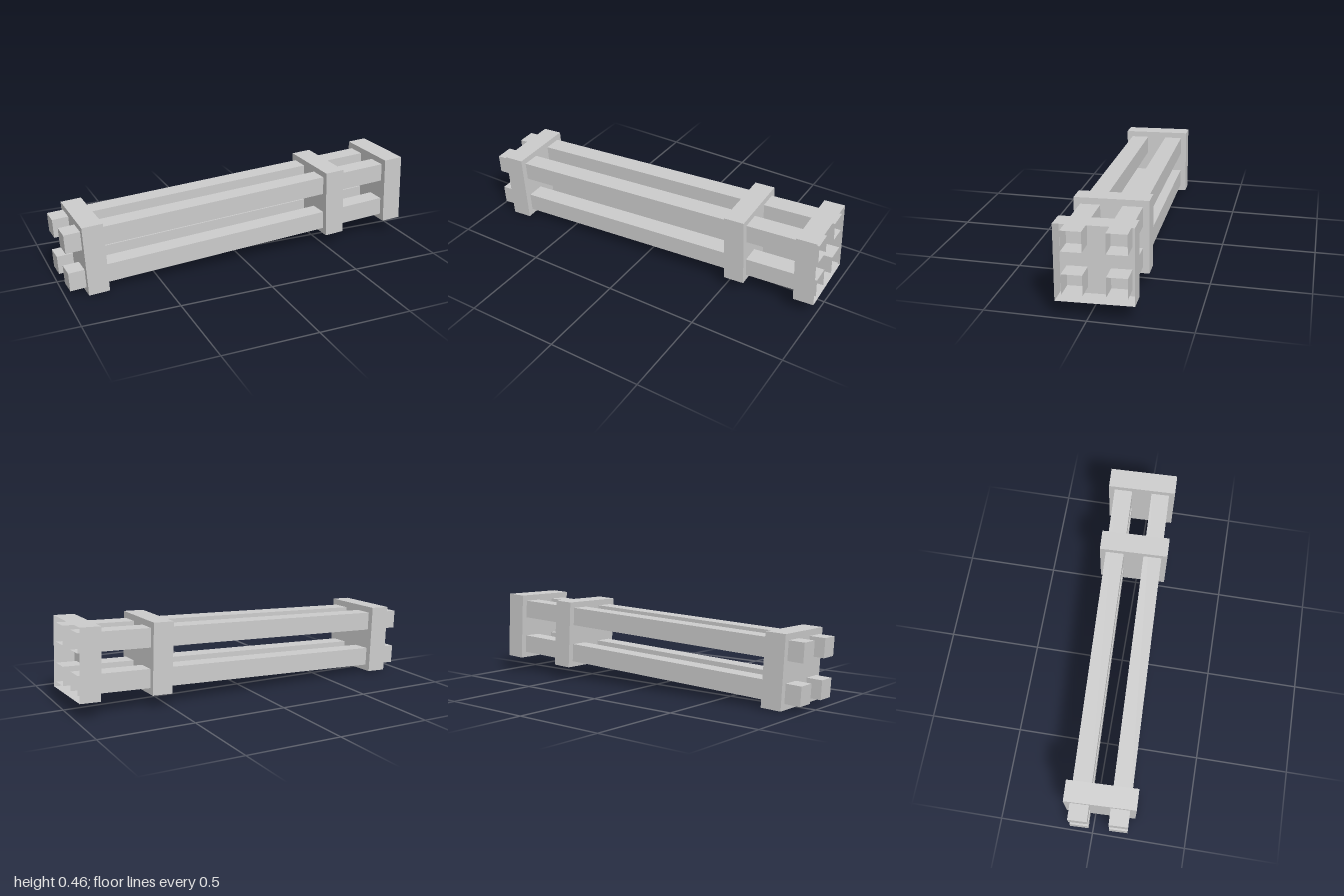
import * as THREE from 'three';

export function createModel() {
  const model = new THREE.Group();
  model.name = 'barBundle';
  const material = new THREE.MeshStandardMaterial({
    color: 0xcccccc, flatShading: true, side: THREE.DoubleSide,
  });

  // box centred on x; open drops its +x end face
  function addBox(name, size, position, open) {
    const geometry = new THREE.BoxGeometry(...size);
    if (open) {
      geometry.setIndex(Array.from(geometry.index.array).slice(6));
      geometry.clearGroups();
    }
    const mesh = new THREE.Mesh(geometry, material);
    mesh.name = name;
    mesh.position.set(...position);
    model.add(mesh);
  }

  // four long square bars, hollow at the +x end
  for (const y of [-0.105, 0.105]) {
    for (const z of [-0.105, 0.105]) {
      addBox('bar', [1.97, 0.1, 0.1], [-0.003, y, z], true);
    }
  }

  // square collars holding the bars; the end one is an open tray
  addBox('rearCollar', [0.11, 0.375, 0.375], [-0.848, 0, 0], false);
  addBox('middleCollar', [0.11, 0.375, 0.375], [0.541, 0, 0], false);
  addBox('endCollar', [0.11, 0.375, 0.375], [0.928, 0, 0], true);

  // slight tilt of the whole bundle
  model.rotation.set(0.012, 0.035, 0.045);
  model.position.set(0, 0.232, 0);

  const root = new THREE.Group();
  root.name = 'tiltedBarBundle';
  root.add(model);
  return root;
}
